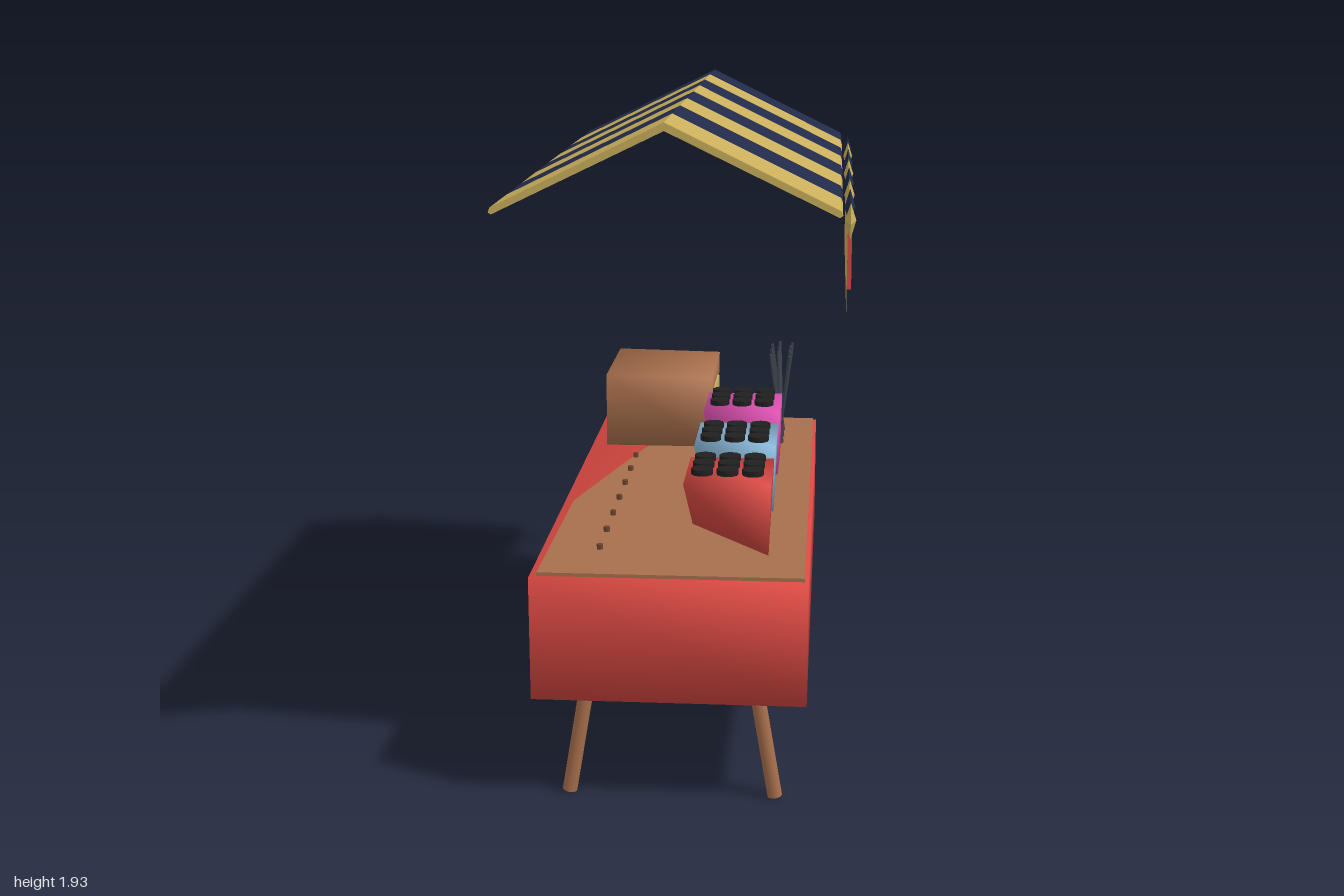
import * as THREE from 'three';
import { mergeVertices } from 'three/addons/utils/BufferGeometryUtils.js';
import { ConvexGeometry } from 'three/addons/geometries/ConvexGeometry.js';

const mat = (name, color, side = THREE.FrontSide) => {
  const m = new THREE.MeshStandardMaterial({ color, side });
  m.name = name;
  return m;
};

export function createModel() {
  const group = new THREE.Group();
  const red = mat('red', 0xd84842);
  const navy = mat('navy', 0x212b4a);
  const straw = mat('straw yellow', 0xc9ae5b, THREE.DoubleSide);
  const wood = mat('wood', 0xa86f4c);
  const darkWood = mat('dark wood', 0x6b452f);
  const blue = mat('light blue', 0x87b6d6);
  const pink = mat('pink', 0xdc50b0);
  const black = mat('black', 0x202020);
  const slate = mat('slate', 0x3d444d);

  const add = (name, geo, material, x = 0, y = 0, z = 0) => {
    const m = new THREE.Mesh(geo, material);
    m.name = name;
    m.position.set(x, y, z);
    group.add(m);
    return m;
  };
  const box = (name, w, h, d, material, x, y, z) =>
    add(name, new THREE.BoxGeometry(w, h, d), material, x, y, z);

  // Convex solid from corner points, shaded smoothly across its edges
  const soft = (name, corners, material) => {
    const hull = new ConvexGeometry(corners.map((c) => new THREE.Vector3(...c)));
    hull.deleteAttribute('normal');
    const geo = mergeVertices(hull, 1e-4);
    geo.computeVertexNormals();
    return add(name, geo, material);
  };
  const rect = (x0, x1, y, z0, z1) => [[x0, y, z0], [x1, y, z0], [x1, y, z1], [x0, y, z1]];

  // Round bar between two points
  const bar = (name, a, b, r, sides, material) => {
    const p = new THREE.Vector3(...a), q = new THREE.Vector3(...b);
    const dir = q.clone().sub(p);
    const m = add(name, new THREE.CylinderGeometry(r, r, dir.length(), sides), material);
    m.position.copy(p).add(q).multiplyScalar(0.5);
    m.quaternion.setFromUnitVectors(new THREE.Vector3(0, 1, 0), dir.normalize());
    return m;
  };

  // Striped gable canopy
  const gable = new THREE.Shape([
    [-0.475, 1.695], [-0.467, 1.69], [-0.02, 1.906], [0.427, 1.69], [0.435, 1.695],
    [0.43, 1.708], [-0.02, 1.928], [-0.47, 1.708],
  ].map((p) => new THREE.Vector2(...p)));
  for (let i = 0; i < 8; i++) {
    const geo = new THREE.ExtrudeGeometry(gable, { depth: 0.25, bevelEnabled: false });
    add('canopyStripe', geo, i % 2 ? straw : navy, 0, 0, -1 + i * 0.25);
  }

  // Tilted pennants along the eave
  for (let i = 0; i < 8; i++) {
    const s = i % 2 ? 1 : -1;
    const outline = i === 0
      ? [[0.045, 0.045], [0.04, 0.03], [-0.055, -0.045], [0.035, -0.02]]
      : [[0.065, 0], [0.018, 0.05], [-0.065, 0.01], [-0.005, -0.05]];
    const pts = outline.map(([z, y]) => [0.455, 1.665 + y, -0.87 + i * 0.25 + z * (i ? s : 1)]);
    const mid = [-0.015, 0.015].map((x) => [0.455 + x, 1.667, -0.87 + i * 0.25]);
    const geo = new ConvexGeometry([...pts, ...mid].map((p) => new THREE.Vector3(...p)));
    add('pennant', geo, i % 2 ? straw : navy);
  }

  // Hanging menu sign with red panels
  const sign = add('sign', new THREE.PlaneGeometry(1.32, 0.29), straw, 0.45, 1.515, 0);
  sign.rotation.y = Math.PI / 2;
  for (let i = -2; i <= 2; i++) {
    box('signPanel', 0.012, 0.185, 0.158, red, 0.457, 1.518, 0.008 + i * 0.236);
  }

  // Draped table cloth
  soft('tableCloth',
    [...rect(-0.41, 0.36, 0.315, -0.9, 0.9), ...rect(-0.41, 0.36, 0.672, -0.9, 0.9)], red);

  // Counter board, narrowing towards the rear
  const board = new THREE.Shape([
    [-0.39, 0.88], [0.35, 0.88], [0.35, -0.88], [-0.1, -0.88], [-0.28, -0.2], [-0.38, 0.2],
  ].map(([x, z]) => new THREE.Vector2(x, -z)));
  const boardGeo = new THREE.ExtrudeGeometry(board, { depth: 0.012, bevelEnabled: false });
  add('counterBoard', boardGeo.rotateX(-Math.PI / 2), wood, 0, 0.67, 0);

  // Pegs along the board
  for (let i = 0; i < 7; i++) {
    add('peg', new THREE.CylinderGeometry(0.009, 0.009, 0.03, 8), darkWood,
      -0.24, 0.682, 0.665 - i * 0.163);
  }

  // Splayed legs
  for (const z of [-0.81, 0.81]) {
    bar('leg', [0.272, 0.003, z], [0.212, 0.36, z], 0.021, 12, wood);
    bar('leg', [-0.317, 0.003, z], [-0.257, 0.36, z], 0.021, 12, wood);
  }

  // Baskets: two pinch to a diagonal bottom edge, one is nearly square
  const top = (z0, z1) => rect(0.005, 0.25, 0.9, z0, z1);
  soft('redBasket', [...top(0.45, 0.735), [0.01, 0.695, 0.452], [0.245, 0.695, 0.73]], red);
  soft('blueBasket', [...top(0.045, 0.33), [0.01, 0.695, 0.055], [0.245, 0.695, 0.315]], blue);
  soft('pinkBasket', [...top(-0.355, -0.085), [0.01, 0.695, -0.35], [0.245, 0.695, -0.35],
    [0.245, 0.695, -0.09], [0.05, 0.695, -0.13]], pink);

  // Round dark snacks on each basket
  for (const zc of [0.592, 0.222, -0.222]) {
    for (let i = -1; i <= 1; i++) {
      for (let j = -1; j <= 1; j++) {
        add('snack', new THREE.CylinderGeometry(0.031, 0.031, 0.016, 12), black,
          0.125 + i * 0.072, 0.92, zc + j * 0.072);
      }
    }
  }

  // Crate with a label on both sides
  soft('crate', [...rect(-0.35, 0.005, 0.695, -0.835, -0.415),
    [-0.35, 0.94, -0.84], [0.01, 0.932, -0.845], [0.01, 0.932, -0.42], [-0.35, 0.94, -0.42]], wood);
  for (const x of [-0.353, 0.011]) box('crateLabel', 0.009, 0.085, 0.2, straw, x, 0.83, -0.635);

  // Fanned bundles of skewers
  for (const z of [-0.52, -0.605, -0.69]) {
    for (const [dx, dz] of [[-0.035, 0.015], [-0.01, -0.04], [0.035, -0.015], [0.03, 0.04]]) {
      bar('skewer', [0.24 - dx * 0.2, 0.685, z - dz * 0.25], [0.24 + dx, 1.0, z + dz],
        0.006, 6, slate);
    }
  }

  return group;
}
